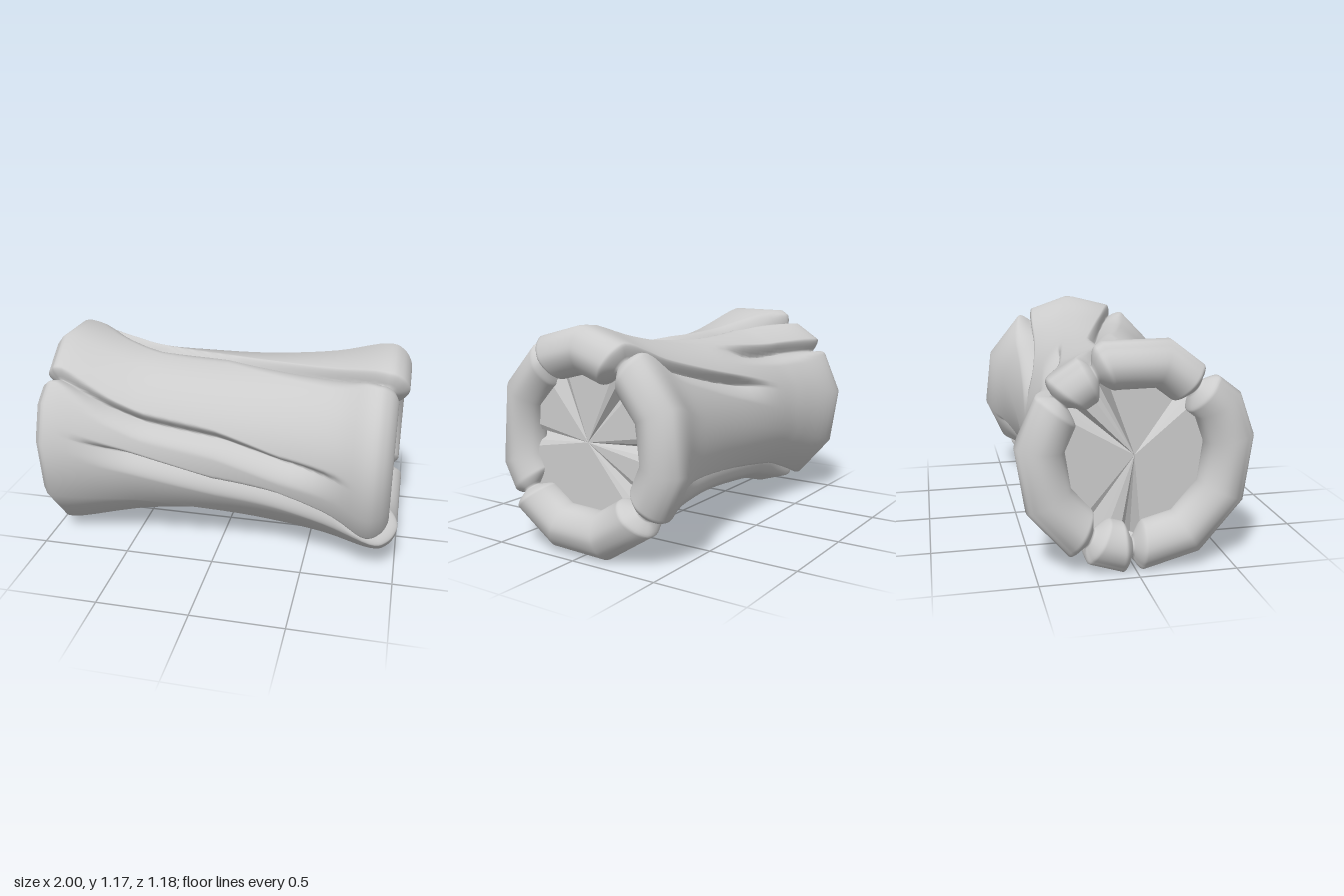
import * as THREE from 'three';

const { clamp, lerp, smoothstep, euclideanModulo } = THREE.MathUtils;
const RAD = Math.PI / 180;
const AXIS_Y = 0.59;
const COLUMNS = 420;
const TWIST = -27; // degrees per unit along the axis
const RIM_X = 0.88;

// Profile [x, radius]: rolled rim, flared body, rolled rim
const PROFILE = [
  [-0.8, 0.41], [-0.85, 0.35], [-0.93, 0.355], [-0.985, 0.41], [-1, 0.48], [-0.965, 0.55],
  [-0.89, 0.588], [-0.6, 0.52], [-0.4, 0.487], [0, 0.468], [0.3, 0.478], [0.6, 0.518],
  [0.86, 0.588], [0.955, 0.56], [1, 0.48], [0.985, 0.41], [0.93, 0.355], [0.85, 0.35], [0.8, 0.41],
];

// Angles of the soft lengthwise corners at x = 0
const CORNERS = [7, 51, 83, 116, 149, 181, 213, 243, 279, 312, 345, 367];

// Twisting bark grooves as [x, angle in degrees], angle 0 at the front, 90 at the top.
// slope: the side (by angle) on which the groove rises gently; the other side is a sharp lip
const GROOVES = [
  { slope: -1, path: [[-RIM_X, 49], [-0.6, 35], [-0.4, 27], [0, 20], [0.35, 7], [0.75, 0]] },
  { slope: -1, path: [[-0.8, 13], [0, -13], [0.35, -18], [0.6, -26], [RIM_X, -38]] },
  { slope: -1, path: [[-RIM_X, 116], [-0.6, 104], [-0.4, 97], [0, 94], [0.4, 78], [RIM_X, 60]] },
  { slope: 1, path: [[-RIM_X, 142], [-0.6, 134], [-0.4, 130], [0, 121]] },
  { slope: 1, path: [[-0.3, 161], [0, 149], [0.4, 135], [RIM_X, 122]] },
  { slope: 1, path: [[-RIM_X, 268], [0, 240], [0.5, 227], [RIM_X, 219]] },
  { slope: 1, path: [[-RIM_X, 240], [-0.4, 225], [0.2, 212], [0.78, 200]] },
];

const angleBetween = (a, b) => euclideanModulo(a - b + 180, 360) - 180;

function angleAt(path, x) {
  const i = Math.max(1, path.findIndex(p => x <= p[0]));
  const [x0, a0] = path[i - 1], [x1, a1] = path[i];
  return lerp(a0, a1, (x - x0) / (x1 - x0));
}

// 0 on the plates, 1 at the bottom of a groove
function grooveAmount(x, deg, r) {
  const rim = smoothstep(Math.abs(x), 0.6, RIM_X);
  let most = 0;
  for (const { slope, path } of GROOVES) {
    const start = path[0][0], end = path[path.length - 1][0];
    if (x < start || x > end) continue;
    const fadeIn = start === -RIM_X ? 1 : smoothstep(x, start, start + 0.35);
    const fadeOut = end === RIM_X ? 1 : 1 - smoothstep(x, end - 0.35, end);
    const diff = angleBetween(deg, angleAt(path, x));
    const width = diff * slope > 0 ? lerp(0.12, 0.055, rim) : lerp(0.035, 0.05, rim);
    const near = Math.max(0, 1 - Math.abs(diff) * RAD * r / width);
    most = Math.max(most, Math.pow(near, 1.6) * fadeIn * fadeOut);
  }
  return most;
}

// Plates end at slightly different lengths
function plateInset(x, deg) {
  const a = euclideanModulo(deg + 38, 360) - 38;
  const end = smoothstep(Math.abs(x), 0.65, 0.9);
  if (x > 0) return -end * (a < 60 ? 0.05 : a > 122 && a < 219 ? 0.025 : 0);
  return end * (a > 49 && a < 116 ? 0.005 : a > 116 && a < 240 ? 0.02 : 0);
}

// Radius factor that turns the round section into a polygon
function facetScale(column) {
  const deg = euclideanModulo(column * 360 / COLUMNS - CORNERS[0], 360) + CORNERS[0];
  const i = CORNERS.findIndex(c => deg < c);
  const half = (CORNERS[i] - CORNERS[i - 1]) / 2;
  return 1.015 * Math.cos(half * RAD) / Math.cos((deg - CORNERS[i] + half) * RAD);
}

function barkGeometry() {
  const rows = new THREE.SplineCurve(PROFILE.map(p => new THREE.Vector2(...p)))
    .getPoints((PROFILE.length - 1) * 5);
  const positions = [], index = [];
  rows.forEach(({ x, y: r }, i) => {
    const onRim = Math.abs(x) > RIM_X || r < 0.43;
    const along = onRim ? Math.sign(x) * RIM_X : x;
    for (let j = 0; j < COLUMNS; j++) {
      const deg = j * 360 / COLUMNS + TWIST * along;
      const g = grooveAmount(along, deg, r);
      // Rim gaps shrink towards the core of the roll, body grooves sink inwards
      const rr = onRim ? r + (0.465 - r) * 0.65 * g : r - 0.075 * g;
      const xx = onRim ? x + (along - x) * 0.65 * g : x;
      positions.push(xx + plateInset(x, deg) * (1 - g),
        rr * Math.sin(deg * RAD), rr * Math.cos(deg * RAD));
      if (i < rows.length - 1) {
        const k = (j + 1) % COLUMNS, a = i * COLUMNS, b = a + COLUMNS;
        index.push(a + j, b + j, a + k, a + k, b + j, b + k);
      }
    }
  });
  const geometry = new THREE.BufferGeometry();
  geometry.setAttribute('position', new THREE.Float32BufferAttribute(positions, 3));
  geometry.setIndex(index);
  geometry.computeVertexNormals();

  // Flatten the outline into a twisted polygon, keeping the smooth normals
  const p = geometry.attributes.position;
  for (let i = 0; i < p.count; i++) {
    const scale = facetScale(i % COLUMNS);
    p.setY(i, clamp(p.getY(i) * scale, -AXIS_Y, AXIS_Y));
    p.setZ(i, p.getZ(i) * scale);
  }
  return geometry;
}

// End disc with narrow radial folds
function endGeometry(side, folds) {
  const geometry = new THREE.CircleGeometry(0.43, 72);
  geometry.rotateY(side * Math.PI / 2);
  const p = geometry.attributes.position;
  for (let i = 1; i < p.count; i++) {
    const deg = Math.atan2(p.getY(i), p.getZ(i)) / RAD;
    for (const fold of folds) {
      const diff = Math.abs(angleBetween(deg, fold));
      if (diff < 6) p.setX(i, -side * 0.12 * (1 - diff / 6));
    }
  }
  return geometry;
}

export function createModel() {
  const group = new THREE.Group();
  group.name = 'log';
  const smooth = new THREE.MeshStandardMaterial({ color: 0xcccccc, side: THREE.DoubleSide });
  const flat = new THREE.MeshStandardMaterial({ color: 0xcccccc, flatShading: true, side: THREE.DoubleSide });

  const bark = new THREE.Mesh(barkGeometry(), smooth);
  bark.name = 'bark';
  bark.position.y = AXIS_Y;
  group.add(bark);

  const ends = [['leftEnd', 1, [0, 60, 125, 180, 220]], ['rightEnd', -1, [49, 116, 142, 240, 268]]];
  for (const [name, side, folds] of ends) {
    const end = new THREE.Mesh(endGeometry(side, folds), flat);
    end.name = name;
    end.position.set(side * 0.86, AXIS_Y, 0);
    group.add(end);
  }
  return group;
}
